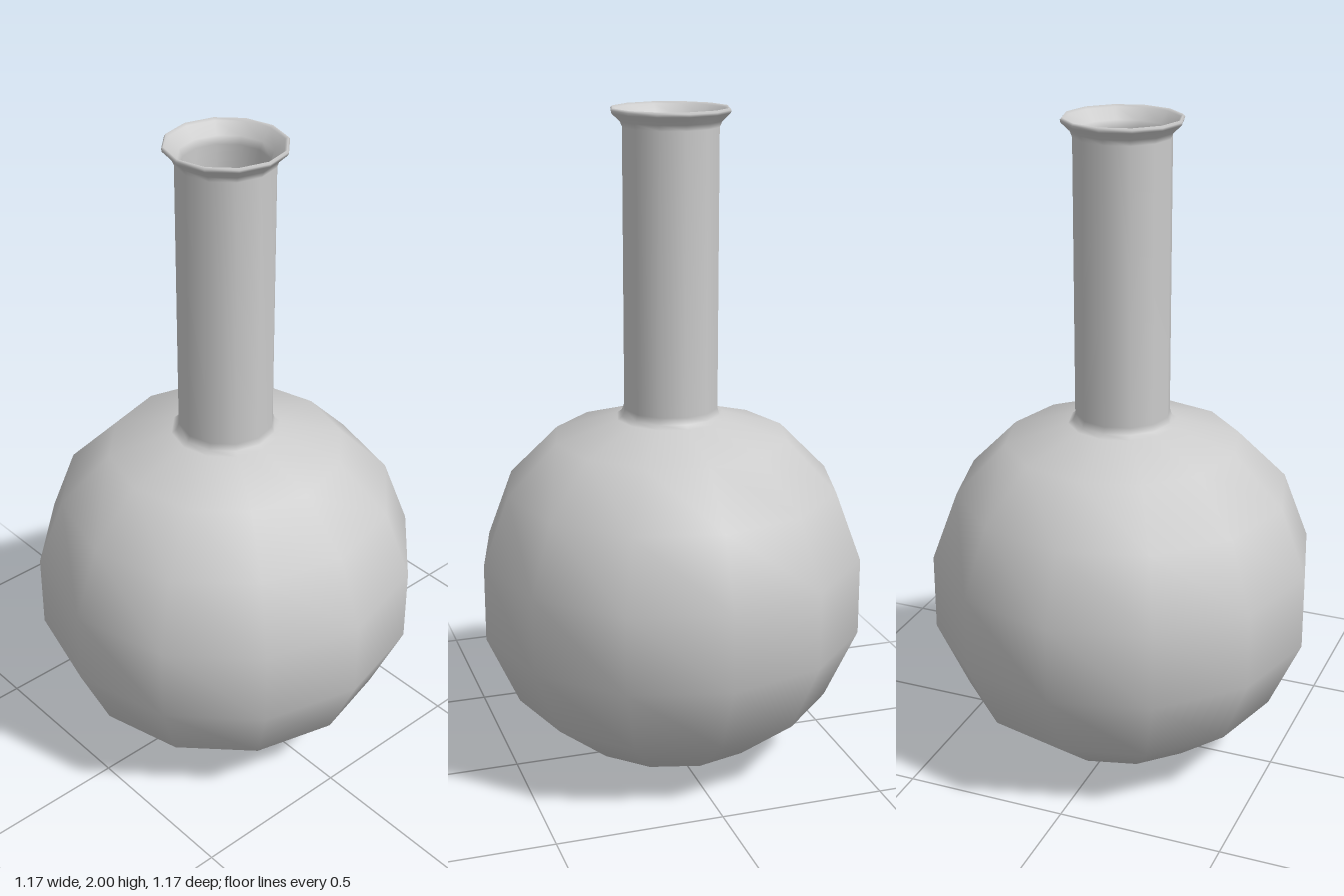
import * as THREE from 'three';

const SIDES = 12;
const WALL = 0.016;

// Outer wall, from the base up to the lip: [radius, height]
const bulb = [[0, 0.005], [0.293, 0.066], [0.485, 0.22], [0.583, 0.436], [0.583, 0.67], [0.505, 0.878], [0.355, 1.03], [0.165, 1.087]];
const neck = [[0.15, 1.098], [0.143, 1.118], [0.143, 1.945], [0.15, 1.962]];
const lip = [[0.175, 1.986], [0.177, 1.994], [0.172, 2.0], [0.164, 1.994]];

// Inner wall, from the lip back down to the base
const innerNeck = [[0.134, 1.962], [0.125, 1.94], [0.125, 1.1]];
const center = 0.55;
const innerBulb = bulb.slice(0, -1).reverse().map(([r, y]) => {
  const k = 1 - WALL / Math.hypot(r, y - center);
  return [r * k, center + (y - center) * k];
});

function createVessel() {
  const profile = [...bulb, ...neck, ...lip, ...innerNeck, ...innerBulb]
    .map(([r, y]) => new THREE.Vector2(r, y));
  const geometry = new THREE.LatheGeometry(profile, SIDES);

  // Straight-down normals on the poles keep the base smooth
  const normals = geometry.attributes.normal;
  const last = profile.length - 1;
  for (let i = 0; i <= SIDES; i++) {
    normals.setXYZ(i * profile.length, 0, -1, 0);
    normals.setXYZ(i * profile.length + last, 0, 1, 0);
  }
  const mesh = new THREE.Mesh(geometry, new THREE.MeshStandardMaterial({ color: 0xcccccc }));
  mesh.name = 'flaskVessel';
  return mesh;
}

export function createModel() {
  const model = new THREE.Group();
  model.name = 'roundBottomFlask';
  model.add(createVessel());
  return model;
}
